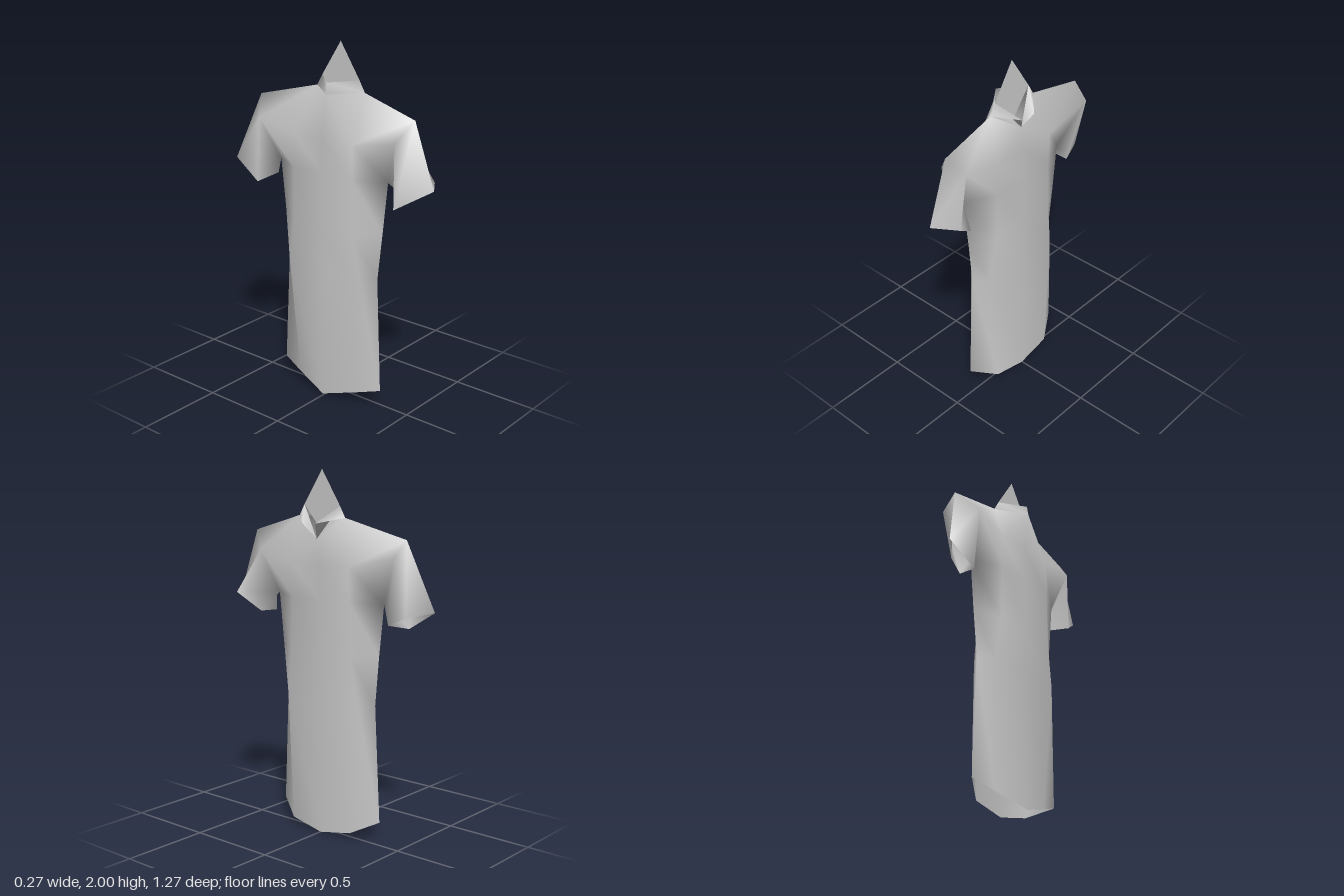
import * as THREE from 'three';
import { mergeVertices } from 'three/addons/utils/BufferGeometryUtils.js';

const cloth = new THREE.MeshStandardMaterial({ color: 0xcccccc, side: THREE.DoubleSide });
cloth.name = 'cloth';

// Collects triangles and quads, then welds them into one smooth surface
function surface(name) {
  const pos = [];
  return {
    face(flip, ...pts) {
      if (flip) pts.reverse();
      for (let i = 1; i < pts.length - 1; i++) pos.push(...pts[0], ...pts[i], ...pts[i + 1]);
    },
    mesh() {
      const raw = new THREE.BufferGeometry();
      raw.setAttribute('position', new THREE.Float32BufferAttribute(pos, 3));
      const geo = mergeVertices(raw, 1e-4);
      geo.computeVertexNormals();
      const m = new THREE.Mesh(geo, cloth);
      m.name = name;
      return m;
    },
  };
}

// Torso rows: half profiles as [x, y] at centre and quarter, side as [x, y], half widths
const rows = [
  { zq: 0.205, zs: 0.345, front: [[0.05, 0], [0.045, 0.04]], back: [[-0.12, 0.01], [-0.074, 0.068]], side: [-0.04, 0.11] },
  { zq: 0.25, zs: 0.313, front: [[0.05, 0.76], [0.035, 0.76]], back: [[-0.12, 0.76], [-0.105, 0.76]], side: [-0.035, 0.76] },
  { zq: 0.21, zs: 0.34, front: [[0.05, 1.03], [0.05, 1.03]], back: [[-0.12, 1], [-0.113, 1]], side: [-0.03, 1.03] },
  { zq: 0.2, zs: 0.37, front: [[0.055, 1.31], [0.05, 1.31]], back: [[-0.12, 1.31], [-0.115, 1.31]], side: [-0.03, 1.31] },
  { zq: 0.2, front: [[0.058, 1.5], [0.058, 1.5]], back: [[-0.12, 1.5], [-0.115, 1.5]] },
];

// Each sleeve: shoulder top, front and back, then the cuff corners
const sleeves = {
  1: {
    top: [0, 1.655, 0.51], front: [0.06, 1.55, 0.43], back: [-0.09, 1.54, 0.45],
    cuff: { outer: [0, 1.31, 0.635], front: [0.13, 1.31, 0.55], inner: [0.07, 1.21, 0.42], back: [-0.09, 1.195, 0.45] },
  },
  '-1': {
    top: [-0.03, 1.655, -0.51], front: [0.06, 1.57, -0.5], back: [-0.138, 1.55, -0.43],
    cuff: { outer: [-0.11, 1.285, -0.635], front: [-0.02, 1.255, -0.515], inner: [0, 1.21, -0.42], back: [-0.13, 1.18, -0.46] },
  },
};

const neckMid = 0.03;
const throat = [0.055, 1.635, 0.02];
const nape = [-0.12, 1.74, neckMid];
const napeTop = [-0.11, 1.8, neckMid];
const neckBase = (s) => [0, 1.75, neckMid + s * 0.16];
const neckTop = (s) => [0, 1.81, neckMid + s * 0.125];

export function createModel() {
  const group = new THREE.Group();
  const shirt = surface('bodyAndSleeves');
  const collar = surface('collarStand');
  const flaps = surface('collarFlaps');

  for (const s of [1, -1]) {
    const arm = sleeves[s];
    const { cuff } = arm;

    for (const half of ['front', 'back']) {
      const flip = (s < 0) !== (half === 'back');
      const centre = rows.map((r) => [...r[half][0], 0]);
      const quarter = rows.map((r) => [...r[half][1], s * r.zq]);
      const edge = rows.map((r) => (r.side ? [...r.side, s * r.zs] : arm[half]));

      // Body panels from hem to chest
      for (let i = 0; i < rows.length - 1; i++) {
        shirt.face(flip, centre[i], centre[i + 1], quarter[i + 1], quarter[i]);
        shirt.face(flip, quarter[i], quarter[i + 1], edge[i + 1], edge[i]);
      }

      // Yoke up to the neck and shoulder
      const neck = half === 'front' ? throat : nape;
      shirt.face(flip, centre[4], neck, quarter[4]);
      shirt.face(flip, quarter[4], neck, neckBase(s));
      shirt.face(flip, neckBase(s), arm.top, arm[half], quarter[4]);

      // Sleeve panels
      shirt.face(flip, arm[half], arm.top, cuff.outer, cuff[half]);
      shirt.face(flip, edge[3], arm[half], cuff[half], cuff.inner);

      // Collar stand
      if (half === 'front') collar.face(flip, throat, neckTop(s), neckBase(s));
      else collar.face(flip, nape, napeTop, neckTop(s), neckBase(s));
    }

    // Folded collar point
    const tip = [0.11, 1.72, neckMid + s * 0.045];
    flaps.face(s < 0, neckTop(s), neckBase(s), tip);
    flaps.face(s < 0, throat, neckTop(s), tip);
  }

  // Flat upright diamond standing in the neck opening
  const insert = surface('neckInsert');
  insert.face(false, [0, 1.66, 0.02], neckTop(-1), [0, 2, neckMid], neckTop(1));

  group.add(shirt.mesh(), collar.mesh(), flaps.mesh(), insert.mesh());
  return group;
}
